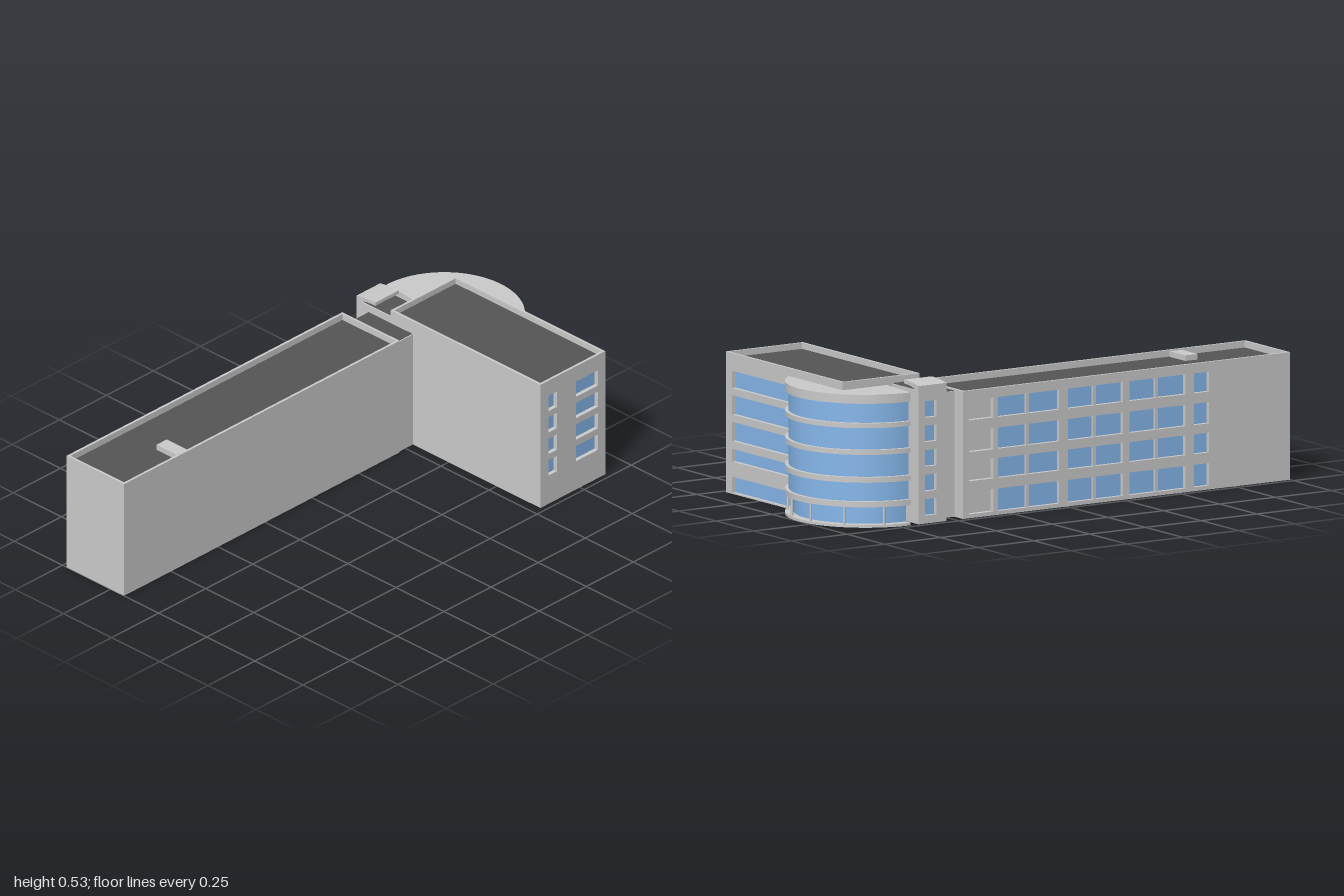
import * as THREE from 'three';
import { toCreasedNormals } from 'three/addons/utils/BufferGeometryUtils.js';

const grey = new THREE.MeshStandardMaterial({ color: 0xcccccc });
const glass = new THREE.MeshStandardMaterial({ color: 0x86b8ec });
const dark = new THREE.MeshStandardMaterial({ color: 0x555555 });
const T = 0.02; // facade thickness

export function createModel() {
  const model = new THREE.Group();

  const add = (name, geo, mat, parent = model) => {
    const m = new THREE.Mesh(geo, mat);
    m.name = name;
    parent.add(m);
    return m;
  };
  const box = (name, x0, x1, y0, y1, z0, z1, mat = grey) => {
    const m = add(name, new THREE.BoxGeometry(x1 - x0, y1 - y0, z1 - z0), mat);
    m.position.set((x0 + x1) / 2, (y0 + y1) / 2, (z0 + z1) / 2);
    return m;
  };
  const rect = (C, x0, x1, y0, y1) => new C([[x0, y0], [x1, y0], [x1, y1], [x0, y1]]
    .map(([x, y]) => new THREE.Vector2(x, y)));

  // Wall with openings [u0, u1, v0, v1], outer face at local z = 0, glazing behind
  const facade = (name, u0, u1, h, holes, panes) => {
    const g = new THREE.Group();
    g.name = name;
    const shape = rect(THREE.Shape, u0, u1, 0, h);
    holes.forEach((o) => shape.holes.push(rect(THREE.Path, ...o)));
    const wall = new THREE.ExtrudeGeometry(shape, { depth: T, bevelEnabled: false });
    wall.translate(0, 0, -T);
    add(name + 'Wall', wall, grey, g);
    panes.forEach(([a, b, c, d]) => {
      const p = add(name + 'Glass', new THREE.PlaneGeometry(b - a, d - c), glass, g);
      p.position.set((a + b) / 2, (c + d) / 2, -T + 0.004);
    });
    model.add(g);
    return g;
  };

  // Parapet ring around a roof
  const parapet = (name, x0, x1, z0, z1, y0, y1, t = 0.01) => {
    const s = rect(THREE.Shape, x0, x1, -z1, -z0);
    s.holes.push(rect(THREE.Path, x0 + t, x1 - t, -z1 + t, -z0 - t));
    const g = new THREE.ExtrudeGeometry(s, { depth: y1 - y0, bevelEnabled: false });
    g.rotateX(-Math.PI / 2).translate(0, y0, 0);
    add(name, g, grey);
  };
  const roof = (name, x0, x1, z0, z1, y) => box(name, x0, x1, y - 0.004, y + 0.002, z0, z1, dark);

  // Long wing
  box('longWingBody', -1, 0.465, 0, 0.455, -0.478 + T, -0.18);
  roof('longWingRoof', -0.995, 0.46, -0.47, -0.185, 0.455);
  parapet('longWingParapet', -1, 0.465, -0.478, -0.18, 0.455, 0.482);
  box('roofHatch', -0.705, -0.65, 0.455, 0.478, -0.3, -0.195);

  // Long wing back facade: u runs along -x
  const rows = [[0.015, 0.1], [0.14, 0.215], [0.25, 0.33], [0.37, 0.445]];
  const bays = [[-0.31, -0.035], [0.005, 0.25], [0.28, 0.53], [0.57, 0.635]];
  const cells = rows.flatMap((r) => bays.map((b) => [...b, ...r]));
  const niches = rows.map((r) => [-0.44, -0.33, ...r]);
  const back = facade('longWingBack', -0.465, 1, 0.455, [...cells, ...niches], cells);
  back.rotation.y = Math.PI;
  back.position.z = -0.478;
  cells.filter(([a, b]) => b - a > 0.1).forEach(([a, b, c, d]) => {
    const m = add('mullion', new THREE.BoxGeometry(0.012, d - c, 0.012), grey, back);
    m.position.set((a + b) / 2, (c + d) / 2, -T + 0.008);
  });

  // Connector between the wings
  box('connector', 0.465, 0.54, 0, 0.475, -0.42, -0.185);
  roof('connectorRoof', 0.466, 0.54, -0.415, -0.19, 0.475);

  // Short wing
  box('shortWingBody', 0.54, 0.885 - T, 0, 0.507, -0.3, 0.478 - T);
  roof('shortWingRoof', 0.545, 0.88, -0.295, 0.47, 0.507);
  parapet('shortWingParapet', 0.54, 0.885, -0.3, 0.478, 0.507, 0.532);

  // Front end windows
  const frontCells = [0.122, 0.215, 0.308, 0.4].flatMap((y) =>
    [[0.582, 0.627], [0.73, 0.845]].map((c) => [...c, y, y + 0.066]));
  facade('shortWingFront', 0.54, 0.885, 0.507, frontCells, frontCells).position.z = 0.478;

  // Side ribbon windows: u runs along -z
  const strips = [[0.005, 0.065], [0.122, 0.17], [0.2, 0.272], [0.3, 0.373], [0.4, 0.465]]
    .map((r) => [-0.435, 0.1, ...r]);
  const side = facade('shortWingSide', -0.478 + T, 0.3, 0.507, strips, strips);
  side.rotation.y = Math.PI / 2;
  side.position.x = 0.885;

  // Rounded bay: flat start beside the tower, then a sweeping arc into the side wall
  const CX = 0.7, CZ = -0.178;
  const bay = (name, r, y0, y1, mat) => {
    const a = -Math.acos(0.17 / r), s = new THREE.Shape();
    s.moveTo(0.66, -CZ + r);
    s.absarc(CX, -CZ, r, Math.PI / 2, a, true);
    s.lineTo(0.66, -CZ + r * Math.sin(a));
    s.closePath();
    let g = new THREE.ExtrudeGeometry(s, { depth: y1 - y0, bevelEnabled: false, curveSegments: 40 });
    g.rotateX(-Math.PI / 2).translate(0, y0, 0);
    g = toCreasedNormals(g, 0.5);
    add(name, g, mat);
  };
  bay('bayBase', 0.3, 0, 0.01, grey);
  bay('bayGroundGlass', 0.268, 0.01, 0.08, glass);
  bay('bayGlass', 0.286, 0.09, 0.48, glass);
  [[0.077, 0.098], [0.17, 0.19], [0.275, 0.293], [0.376, 0.394], [0.468, 0.502]]
    .forEach(([a, b]) => bay('bayBand', 0.3, a, b, grey));
  [0.005, -0.105, -0.235, -0.365, -0.45].forEach((z) => {
    const p = add('bayPost', new THREE.CylinderGeometry(0.005, 0.005, 0.07, 10), grey);
    p.position.set(CX + Math.sqrt(0.29 ** 2 - (z - CZ) ** 2), 0.044, z);
  });

  // Stair tower
  box('towerBody', 0.54, 0.665, 0, 0.505, -0.478 + T, -0.3);
  roof('towerRoof', 0.545, 0.66, -0.45, -0.3, 0.505);
  const towerCells = [0.03, 0.122, 0.215, 0.308, 0.4].map((y) => [-0.635, -0.585, y, y + 0.062]);
  const tower = facade('towerBack', -0.665, -0.54, 0.505, towerCells, towerCells);
  tower.rotation.y = Math.PI;
  tower.position.z = -0.478;

  // Curved tower canopy, profile in z and y
  const c = new THREE.Shape();
  c.moveTo(-0.478, 0.505);
  c.lineTo(-0.478, 0.522);
  c.quadraticCurveTo(-0.43, 0.532, -0.38, 0.532);
  c.lineTo(-0.38, 0.518);
  c.quadraticCurveTo(-0.43, 0.518, -0.458, 0.505);
  c.closePath();
  let cap = new THREE.ExtrudeGeometry(c, { depth: 0.125, bevelEnabled: false, curveSegments: 8 });
  cap.rotateY(-Math.PI / 2).translate(0.665, 0, 0);
  cap = toCreasedNormals(cap, 0.5);
  add('towerCanopy', cap, grey);

  return model;
}
